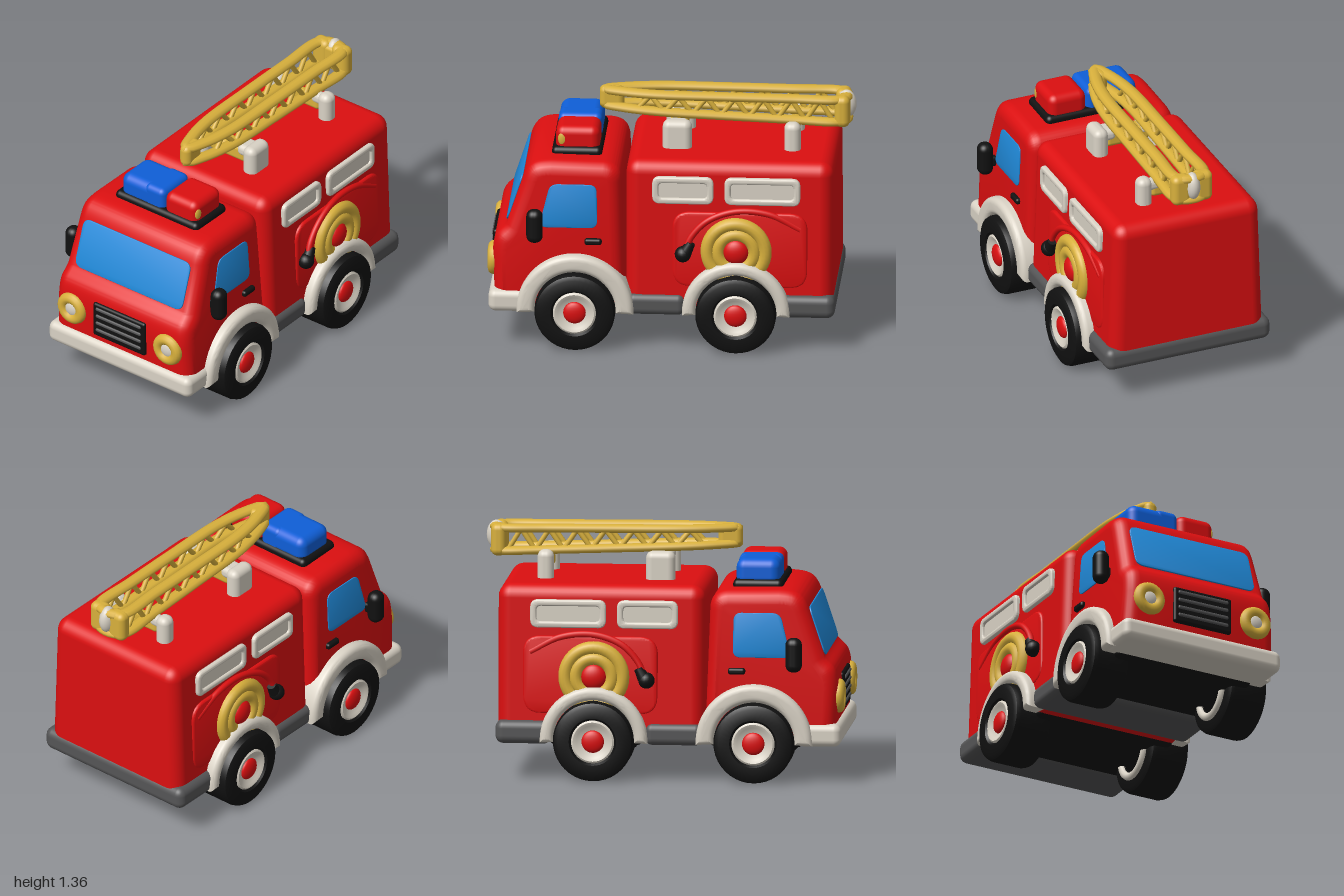
import * as THREE from 'three';
import { toCreasedNormals } from 'three/addons/utils/BufferGeometryUtils.js';
import { RoundedBoxGeometry } from 'three/addons/geometries/RoundedBoxGeometry.js';

const mat = (name, color) => {
  const m = new THREE.MeshStandardMaterial({ color });
  m.name = name;
  return m;
};

// rounded box given by its extents
const block = (x0, x1, y0, y1, z0, z1, r) =>
  new RoundedBoxGeometry(x1 - x0, y1 - y0, z1 - z0, 4, r)
    .translate((x0 + x1) / 2, (y0 + y1) / 2, (z0 + z1) / 2);

// bevelled extrusion spanning z0..z1, keeping the outline's size
const extrude = (shape, z0, z1, bevel) => toCreasedNormals(new THREE.ExtrudeGeometry(shape, {
  depth: z1 - z0 - 2 * bevel, bevelThickness: bevel, bevelSize: bevel,
  bevelOffset: -bevel, bevelSegments: 5, curveSegments: 20,
}).translate(0, 0, z0 + bevel), 0.6);

// polygon with rounded corners
const roundPoly = (pts, r, S = THREE.Shape) => {
  const s = new S();
  const v = pts.map(p => new THREE.Vector2(...p));
  v.forEach((p, i) => {
    const a = v[(i + v.length - 1) % v.length], b = v[(i + 1) % v.length];
    const p0 = p.clone().add(a.clone().sub(p).setLength(r));
    const p1 = p.clone().add(b.clone().sub(p).setLength(r));
    i ? s.lineTo(p0.x, p0.y) : s.moveTo(p0.x, p0.y);
    s.quadraticCurveTo(p.x, p.y, p1.x, p1.y);
  });
  s.closePath();
  return s;
};
const rect = (x0, x1, y0, y1) => [[x0, y0], [x1, y0], [x1, y1], [x0, y1]];

// lean the sides inwards towards the roof
const taper = (g, amount) => {
  const p = g.attributes.position;
  for (let i = 0; i < p.count; i++) p.setZ(i, p.getZ(i) * (1 - amount * (p.getY(i) - 0.2)));
  return g;
};

// copy reflected in z, with the corner order restored
const reflect = geo => {
  const g = geo.index ? geo.toNonIndexed() : geo.clone();
  g.scale(1, 1, -1);
  for (const a of Object.values(g.attributes)) {
    const n = a.itemSize, d = a.array;
    for (let i = 0; i < a.count; i += 3) for (let k = 0; k < n; k++) {
      const u = (i + 1) * n + k, w = (i + 2) * n + k, t = d[u];
      d[u] = d[w];
      d[w] = t;
    }
  }
  return g;
};

const V = (x, y, z) => new THREE.Vector3(x, y, z);
const tube = (pts, r, n = 24, closed = false) =>
  new THREE.TubeGeometry(new THREE.CatmullRomCurve3(pts, closed, 'centripetal'), n, r, 10, closed);

export function createModel() {
  const root = new THREE.Group();
  root.name = 'fireTruck';
  const red = mat('red paint', 0xdc0f10), white = mat('off white', 0xd9d2c5);
  const yellow = mat('brass yellow', 0xd8b03c), black = mat('black rubber', 0x111111);
  const grey = mat('bumper grey', 0x555556), glass = mat('window blue', 0x2089d8);
  const lampBlue = mat('lamp blue', 0x0f5fd8);

  const add = (name, geo, m) => {
    const mesh = new THREE.Mesh(geo, m);
    mesh.name = name;
    root.add(mesh);
    return mesh;
  };
  const both = (name, geo, m) => {
    add(name + 'Left', geo, m);
    add(name + 'Right', reflect(geo), m);
  };

  // cab
  const cab = new THREE.Shape();
  cab.moveTo(-0.95, 0.22);
  cab.lineTo(-0.965, 0.5);
  cab.bezierCurveTo(-0.965, 0.66, -0.92, 0.64, -0.888, 0.69);
  cab.lineTo(-0.8, 0.955);
  cab.bezierCurveTo(-0.77, 1.04, -0.73, 1.05, -0.64, 1.055);
  cab.lineTo(-0.36, 1.05);
  cab.quadraticCurveTo(-0.26, 1.04, -0.26, 0.94);
  cab.lineTo(-0.235, 0.22);
  cab.closePath();
  add('cab', taper(extrude(cab, -0.475, 0.475, 0.075), 0.118), red);

  // cab glass
  const side = roundPoly([[-0.71, 0.685], [-0.39, 0.685], [-0.395, 0.93], [-0.65, 0.93]], 0.045);
  both('sideWindow', taper(extrude(side, 0.472, 0.481, 0.003), 0.118), glass);
  const screen = extrude(roundPoly(rect(-0.37, 0.37, -0.14, 0.14), 0.05), -0.001, 0.008, 0.003)
    .rotateY(-Math.PI / 2).rotateZ(-0.32).translate(-0.844, 0.823, 0);
  add('windshield', screen, glass);

  // mirrors and door handles
  both('mirror', block(-0.775, -0.685, 0.615, 0.805, 0.46, 0.545, 0.04), black);
  both('mirrorArm', block(-0.74, -0.7, 0.66, 0.72, 0.4, 0.48, 0.015), black);
  both('doorHandle', block(-0.46, -0.365, 0.592, 0.628, 0.43, 0.475, 0.015), black);

  // headlights and grille
  both('headlightRing', new THREE.TorusGeometry(0.062, 0.032, 12, 28)
    .rotateY(Math.PI / 2).translate(-0.963, 0.465, 0.33), yellow);
  both('headlightLens', new THREE.SphereGeometry(0.05, 20, 12)
    .scale(0.5, 1, 1).translate(-0.963, 0.465, 0.33), white);
  add('grille', block(-0.978, -0.93, 0.36, 0.57, -0.18, 0.18, 0.015), black);
  for (let i = 0; i < 4; i++) {
    const y = 0.395 + i * 0.045;
    add('grilleBar', block(-0.986, -0.96, y, y + 0.02, -0.155, 0.155, 0.008), grey);
  }

  // rear body
  add('body', taper(block(-0.235, 0.9, 0.2, 1.07, -0.46, 0.46, 0.075), 0.075), red);
  both('sidePanel', extrude(roundPoly(rect(0.02, 0.76, 0.36, 0.79), 0.1), 0.42, 0.458, 0.015), red);

  // framed lockers
  for (const [x0, x1] of [[-0.09, 0.245], [0.305, 0.72]]) {
    const frame = roundPoly(rect(x0, x1, 0.835, 0.99), 0.045);
    frame.holes.push(roundPoly(rect(x0 + 0.035, x1 - 0.035, 0.87, 0.955), 0.025, THREE.Path));
    both('lockerFrame', extrude(frame, 0.41, 0.458, 0.012), white);
    both('lockerDoor', block(x0 + 0.02, x1 - 0.02, 0.85, 0.97, 0.41, 0.444, 0.012), white);
  }

  // hose reel, hose and nozzle
  both('reelOuter', new THREE.TorusGeometry(0.158, 0.037, 12, 40).translate(0.37, 0.57, 0.458), yellow);
  both('reelInner', new THREE.TorusGeometry(0.1, 0.036, 12, 36).translate(0.37, 0.57, 0.46), yellow);
  both('reelHub', new THREE.SphereGeometry(0.07, 24, 14).scale(1, 1, 0.55).translate(0.37, 0.57, 0.465), red);
  both('hose', tube([V(0.085, 0.56, 0.48), V(0.13, 0.66, 0.47), V(0.22, 0.75, 0.465),
    V(0.37, 0.8, 0.455), V(0.55, 0.785, 0.45), V(0.72, 0.7, 0.445)], 0.018, 40), red);
  both('nozzle', new THREE.SphereGeometry(0.045, 18, 12).translate(0.08, 0.555, 0.475), black);
  both('nozzleTip', new THREE.CylinderGeometry(0.025, 0.035, 0.06, 14)
    .rotateZ(-0.5).translate(0.11, 0.595, 0.475), black);

  // bumpers and sills
  add('frontBumper', block(-0.985, -0.74, 0.2, 0.325, -0.49, 0.49, 0.04), white);
  add('middleSill', block(-0.225, 0.09, 0.195, 0.315, -0.48, 0.48, 0.04), grey);
  add('rearBumper', block(0.6, 0.91, 0.195, 0.325, -0.49, 0.49, 0.045), grey);

  // wheels, axles and fenders
  const tyreProfile = [[0.1, 0.31], [0.19, 0.31], [0.212, 0.322], [0.22, 0.345], [0.22, 0.51],
    [0.212, 0.533], [0.19, 0.545], [0.13, 0.545], [0.115, 0.525], [0.1, 0.525]];
  const rimProfile = [[0.118, 0.5], [0.118, 0.535], [0.108, 0.542], [0.09, 0.535],
    [0.07, 0.522], [0, 0.52]];
  const lathe = pts => toCreasedNormals(new THREE.LatheGeometry(
    pts.map(p => new THREE.Vector2(...p)), 40).rotateX(Math.PI / 2), 0.7);
  for (const [name, x, r] of [['front', -0.51, 0.32], ['rear', 0.37, 0.295]]) {
    const at = g => g.translate(x, 0.22, 0);
    both(name + 'Tyre', at(lathe(tyreProfile)), black);
    both(name + 'Rim', at(lathe(rimProfile)), white);
    both(name + 'Hub', at(new THREE.SphereGeometry(0.062, 24, 12).scale(1, 1, 0.4).translate(0, 0, 0.522)), red);
    both(name + 'InnerRim', at(new THREE.TorusGeometry(0.13, 0.022, 10, 32).translate(0, 0, 0.308)), white);
    add(name + 'Axle', new THREE.CylinderGeometry(0.12, 0.12, 0.66, 28)
      .rotateX(Math.PI / 2).translate(x, 0.275, 0), black);
    add(name + 'Underbody', block(x - 0.26, x + 0.25, 0.185, 0.32, -0.42, 0.42, 0.03), black);
    const arch = new THREE.Shape();
    arch.absarc(0, 0, r, -0.05, Math.PI + 0.05, false);
    arch.absarc(0, 0, 0.222, Math.PI + 0.05, -0.05, true);
    arch.closePath();
    both(name + 'Fender', at(extrude(arch, 0.36, 0.515, 0.032)), white);
  }

  // roof beacon
  add('beaconBase', block(-0.65, -0.375, 1.03, 1.09, -0.285, 0.285, 0.028), black);
  add('beaconBlue', block(-0.63, -0.39, 1.05, 1.2, -0.262, 0.045, 0.05), lampBlue);
  add('beaconBlueJoint', block(-0.63, -0.39, 1.05, 1.2, -0.1, 0.04, 0.035), lampBlue);
  add('beaconRed', block(-0.63, -0.39, 1.05, 1.2, 0.04, 0.262, 0.045), red);
  add('beaconSpot', new THREE.SphereGeometry(0.03, 16, 10)
    .scale(0.85, 1.4, 0.5).translate(-0.592, 1.13, 0.25), yellow);

  // ladder supports
  for (const [x, w] of [[0.03, 0.08], [0.66, 0.045]]) {
    both('ladderPost', block(x - w, x + w, 1.03, 1.225, 0.125, 0.21, 0.038), white);
    both('ladderBracket', block(x - w * 0.7, x + w * 0.7, 1.14, 1.21, 0.07, 0.16, 0.03), white);
    add('ladderCrossbeam', block(x - w * 0.6, x + w * 0.6, 1.1, 1.19, -0.13, 0.13, 0.025), yellow);
  }

  // ladder: two flattened loops joined by zigzag struts
  const flat = 0.68;
  const loop = (y0, y1) => {
    const y = x => (y0 + (y1 - y0) * (x + 0.4) / 1.34) / flat;
    const half = [[-0.26, 0.045], [-0.08, 0.077], [0.3, 0.083], [0.65, 0.083], [0.9, 0.082]];
    const pts = [[-0.37, 0], ...half, [0.94, 0.04], [0.94, -0.04],
      ...half.map(([x, z]) => [x, -z]).reverse()];
    return tube(pts.map(([x, z]) => V(x, y(x), z)), 0.036, 120, true).scale(1, flat, 1);
  };
  add('ladderTopRail', loop(1.337, 1.328), yellow);
  add('ladderBottomRail', loop(1.25, 1.2), yellow);
  add('ladderNose', block(-0.405, -0.27, 1.23, 1.358, -0.035, 0.035, 0.033), yellow);
  both('ladderTail', block(0.885, 0.968, 1.175, 1.352, 0.008, 0.12, 0.035), yellow);
  add('ladderTailFill', block(0.89, 0.955, 1.19, 1.33, -0.05, 0.05, 0.02), yellow);
  const n = 14;
  for (let i = 0; i < n; i++) {
    const pt = k => {
      const x = -0.2 + k * 1.08 / n;
      return V(x, k % 2 ? 1.325 : 1.24 - 0.037 * (x + 0.2), x < -0.1 ? 0.06 : 0.08);
    };
    both('ladderStrut', tube([pt(i), pt(i + 1)], 0.014, 1), yellow);
  }
  add('ladderEndCap', new THREE.SphereGeometry(1, 20, 14)
    .scale(0.055, 0.08, 0.042).translate(0.945, 1.28, 0), white);

  return root;
}
